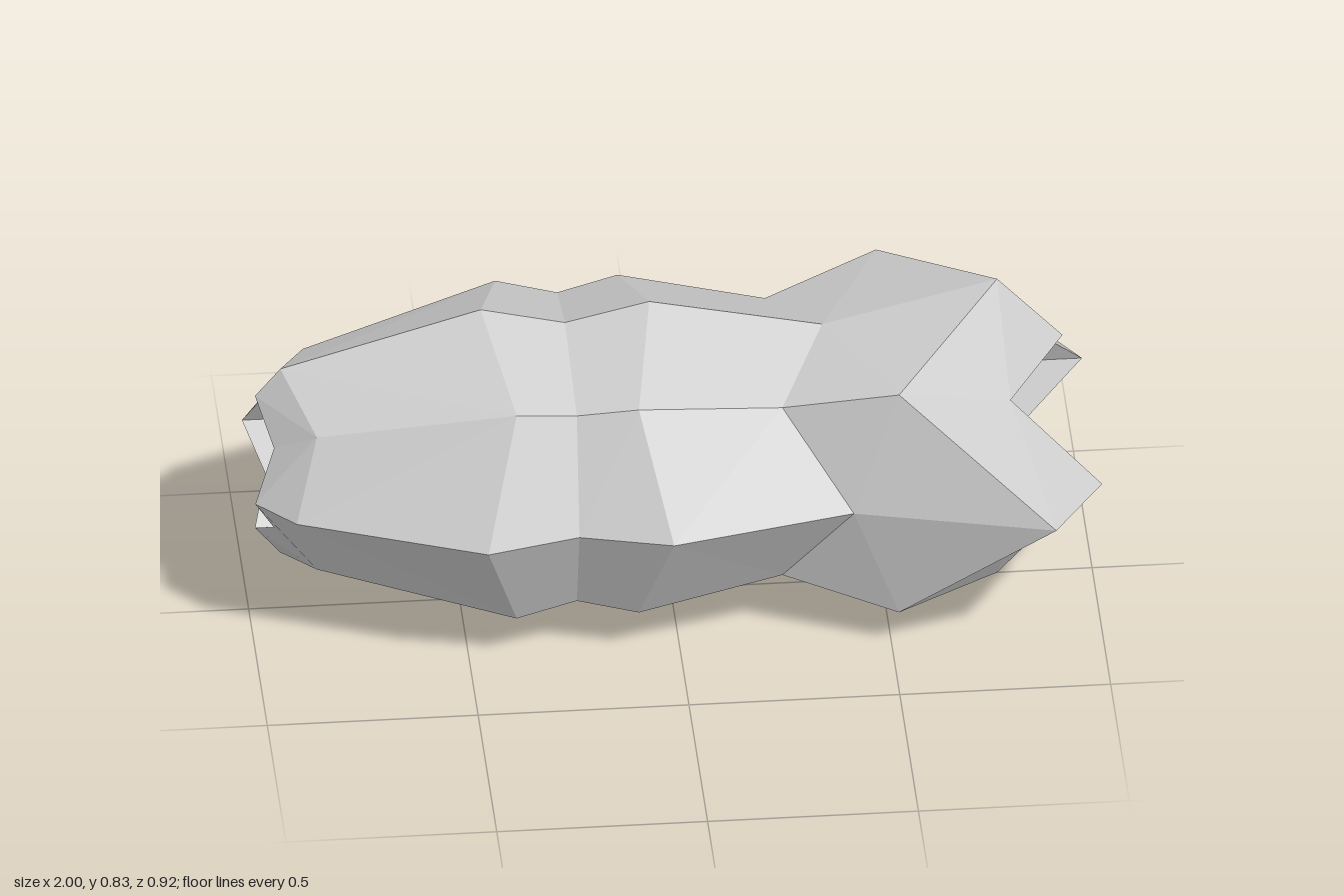
import * as THREE from 'three';

const AXIS_Y = 0.418;

// Each station: [xTop, rTop, xSide, rSide, xDiagonal, dyDiagonal, dzDiagonal]
const noseRecess = [
  [-0.88, 0, -0.88, 0, -0.88, 0, 0],
  [-0.89, 0.187, -0.89, 0.18, -0.89, 0.112, 0.115],
  [-0.985, 0.187, -1.0, 0.18, -0.95, 0.112, 0.115],
];
const noseRim = [-0.925, 0.26, -0.91, 0.275, -0.855, 0.187, 0.19];
const bodyEnd = [0.36, 0.312, 0.405, 0.345, 0.245, 0.237, 0.235];
const hull = [
  noseRim,
  [-0.45, 0.4, -0.47, 0.445, -0.39, 0.287, 0.29],
  [-0.25, 0.352, -0.25, 0.39, -0.245, 0.262, 0.265],
  [-0.05, 0.4, -0.03, 0.445, -0.1, 0.287, 0.29],
  bodyEnd,
];
const finTip = [0.93, 0.248, 1.0, 0.27, 0.79, 0.197, 0.19];
const fins = [
  bodyEnd,
  [0.775, 0.416, 0.875, 0.46, 0.515, 0.308, 0.312],
  finTip,
];
// Recess between the fins, closed by a shallow horizontal wedge
const tailRecess = [
  finTip,
  [0.576, 0.248, 0.7, 0.27, 0.6015, 0.197, 0.19],
  [0.7, 0, 0.7, 0, 0.7, 0, 0],
];

// Eight corners of a station: top, diagonal, side, diagonal, bottom, ...
function corners([xt, rt, xs, rs, xd, dy, dz]) {
  return [
    [xt, rt, 0], [xd, dy, dz], [xs, 0, rs], [xd, -dy, dz],
    [xt, -rt, 0], [xd, -dy, -dz], [xs, 0, -rs], [xd, dy, -dz],
  ];
}

// Skin the stations in order with flat facets
function loft(name, stations, material) {
  const rings = stations.map(corners);
  const positions = [];
  const push = (...pts) => pts.forEach((p) => positions.push(p[0], p[1] + AXIS_Y, p[2]));
  for (let i = 0; i < rings.length - 1; i++) {
    const closesIn = stations[i + 1][1] === 0;
    const opensOut = stations[i][1] === 0;
    for (let j = 0; j < 8; j++) {
      const k = (j + 1) % 8;
      const a = rings[i][j], b = rings[i][k], c = rings[i + 1][j], d = rings[i + 1][k];
      if (opensOut) push(a, d, c);
      else if (closesIn) push(a, b, c);
      else if (j % 2) push(a, b, c, b, d, c); // mirrored split keeps the halves symmetric
      else push(a, b, d, a, d, c);
    }
  }
  const geometry = new THREE.BufferGeometry();
  geometry.setAttribute('position', new THREE.Float32BufferAttribute(positions, 3));
  geometry.computeVertexNormals();
  const mesh = new THREE.Mesh(geometry, material);
  mesh.name = name;
  return mesh;
}

export function createModel() {
  const material = new THREE.MeshStandardMaterial({ color: 0xcccccc, flatShading: true });
  const group = new THREE.Group();
  group.name = 'facetedPod';
  group.add(
    loft('noseRecess', [...noseRecess, noseRim], material),
    loft('hull', hull, material),
    loft('tailFins', fins, material),
    loft('tailRecess', tailRecess, material),
  );
  return group;
}
